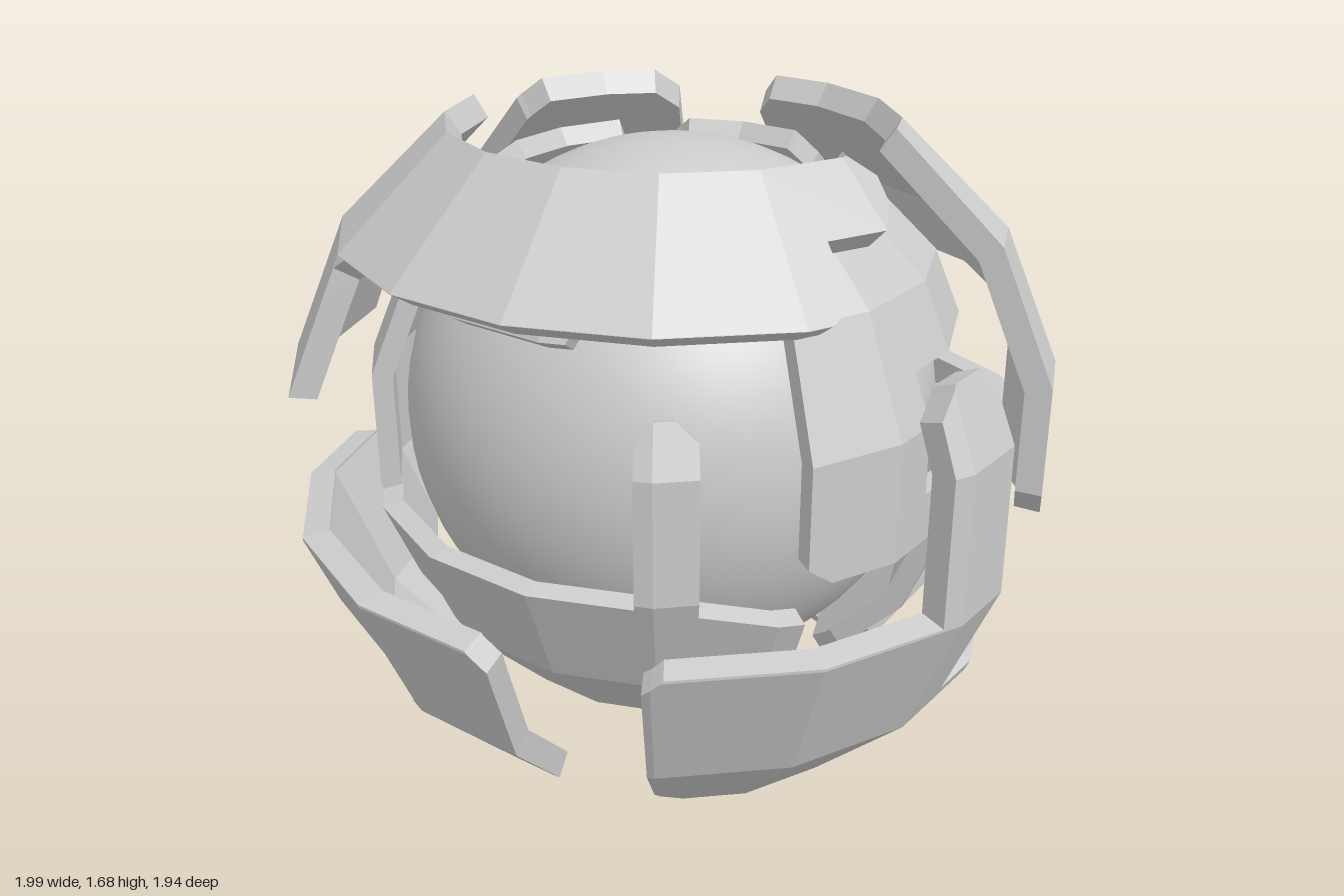
import * as THREE from 'three';

const STEP = 22.5, OFFSET = 11.25; // facet size of the plated shells, degrees
const RINGS = [-56.25, -33.75, -11.25, 11.25, 33.75, 56.25];
const rad = THREE.MathUtils.degToRad;

// Two concentric faceted shells the plates are cut from
const OUTER = { cy: 0.84, R: 1.011, t: 0.07, sx: 1.025 };
const INNER = { cy: 0.885, R: 0.82, t: 0.055, sx: 1 };
for (const s of [OUTER, INNER]) s.ys = RINGS.map(a => s.cy + s.R * Math.sin(rad(a)));

// Point on a shell's flat facets from longitude (0 = front, 90 = +x) and height
function onShell(s, [lon, y], depth) {
  const k = Math.floor((lon - OFFSET) / STEP + 1e-7), u = (lon - OFFSET) / STEP - k;
  let i = 0;
  while (i < 4 && y > s.ys[i + 1]) i++;
  const v = (y - s.ys[i]) / (s.ys[i + 1] - s.ys[i]);
  const r = s.R * THREE.MathUtils.lerp(Math.cos(rad(RINGS[i])), Math.cos(rad(RINGS[i + 1])), v);
  const a = rad(OFFSET + k * STEP), b = rad(OFFSET + (k + 1) * STEP);
  const f = 1 - depth / s.R;
  return [
    f * s.sx * r * THREE.MathUtils.lerp(Math.sin(a), Math.sin(b), u),
    s.cy + f * (y - s.cy),
    f * r * THREE.MathUtils.lerp(Math.cos(a), Math.cos(b), u),
  ];
}

// Keep the side of a polygon where sign * (p[axis] - limit) >= 0
function clip(poly, axis, limit, sign) {
  const out = [];
  poly.forEach((p, i) => {
    const q = poly[(i + 1) % poly.length];
    const dp = sign * (p[axis] - limit), dq = sign * (q[axis] - limit);
    if (dp >= 0) out.push(p);
    if (dp * dq < 0) {
      const t = dp / (dp - dq);
      out.push([p[0] + t * (q[0] - p[0]), p[1] + t * (q[1] - p[1])]);
    }
  });
  return out;
}

// Thick plate from an outline of [longitude, height] corners
function plate(name, s, outline, material) {
  const area = THREE.ShapeUtils.area(outline.map(p => new THREE.Vector2(...p)));
  const poly = (area < 0 ? [...outline].reverse() : outline)
    .map(([l, y]) => [l, THREE.MathUtils.clamp(y, s.ys[0], s.ys[5])]);
  const pos = [];
  const tri = (...pts) => pts.forEach(p => pos.push(...p));
  const lons = poly.map(p => p[0]);
  const k0 = Math.floor((Math.min(...lons) - OFFSET) / STEP);
  const k1 = Math.ceil((Math.max(...lons) - OFFSET) / STEP);

  // outer and inner faces, facet by facet
  for (let k = k0; k < k1; k++) for (let i = 0; i < 5; i++) {
    const l0 = OFFSET + k * STEP, l1 = l0 + STEP;
    let c = clip(clip(poly, 0, l0, 1), 0, l1, -1);
    c = clip(clip(c, 1, s.ys[i], 1), 1, s.ys[i + 1], -1);
    if (c.length < 3) continue;
    // pull corners slightly inside so they stay on this facet
    const at = (p, d) => onShell(s, [
      THREE.MathUtils.clamp(p[0], l0 + 1e-4, l1 - 1e-4),
      THREE.MathUtils.clamp(p[1], s.ys[i] + 1e-6, s.ys[i + 1] - 1e-6)], d);
    const faces = THREE.ShapeUtils.triangulateShape(c.map(p => new THREE.Vector2(...p)), []);
    for (const [a, b, d] of faces) {
      tri(at(c[a], 0), at(c[b], 0), at(c[d], 0));
      tri(at(c[d], s.t), at(c[b], s.t), at(c[a], s.t));
    }
  }

  // side walls, split where they cross facet edges
  poly.forEach((a, i) => {
    const b = poly[(i + 1) % poly.length], ts = [0, 1];
    const cut = (axis, value) => {
      const t = (value - a[axis]) / (b[axis] - a[axis]);
      if (t > 1e-5 && t < 1 - 1e-5) ts.push(t);
    };
    for (let k = k0; k <= k1; k++) cut(0, OFFSET + k * STEP);
    s.ys.forEach(y => cut(1, y));
    ts.sort((m, n) => m - n);
    for (let j = 0; j + 1 < ts.length; j++) {
      const [p, q] = [ts[j], ts[j + 1]].map(t => [a[0] + t * (b[0] - a[0]), a[1] + t * (b[1] - a[1])]);
      const op = onShell(s, p, 0), oq = onShell(s, q, 0), ip = onShell(s, p, s.t), iq = onShell(s, q, s.t);
      tri(op, ip, iq);
      tri(op, iq, oq);
    }
  });

  const g = new THREE.BufferGeometry();
  g.setAttribute('position', new THREE.Float32BufferAttribute(pos, 3));
  g.computeVertexNormals();
  const mesh = new THREE.Mesh(g, material);
  mesh.name = name;
  return mesh;
}

export function createModel() {
  const group = new THREE.Group();
  group.name = 'armouredSphere';
  const smooth = new THREE.MeshStandardMaterial({ color: 0xcccccc });
  const flat = new THREE.MeshStandardMaterial({ color: 0xcccccc, flatShading: true });

  // Smooth core
  const core = new THREE.Mesh(new THREE.SphereGeometry(0.705, 48, 32), smooth);
  core.position.y = 0.915;
  core.name = 'core';
  group.add(core);

  const add = (name, shell, outline) => group.add(plate(name, shell, outline, flat));

  // Outer armour
  add('frontTopPlate', OUTER, [[-100, 1.04], [-57, 1.04], [-56, 1.37], [-53, 1.4], [38, 1.4], [43, 1.43],
    [43, 1.54], [56, 1.54], [62, 1.58], [64, 1.63], [58, 1.68], [-100, 1.68]]);
  add('leftSidePlate', OUTER, [[89, 0.74], [94, 0.65], [120, 0.65], [119, 0.06], [126, 0], [160, 0], [169, 0.08],
    [170, 0.84], [111, 0.84], [111, 1.23], [170, 1.23], [169, 1.62], [163, 1.68], [89, 1.68]]);
  add('backRightPlate', OUTER, [[-168, 0.06], [-160, 0], [-130, 0], [-124, 0.05], [-123, 1.62], [-127, 1.68],
    [-161, 1.68], [-168, 1.62], [-169, 1.31], [-163, 1.23], [-146, 1.23], [-146, 1.16], [-143, 1.13],
    [-134, 1.13], [-134, 0.34], [-157, 0.34], [-157, 0.77], [-160, 0.84], [-165, 0.84], [-168, 0.77]]);
  add('frontLeftLowerPlate', OUTER, [[10, 0.07], [17, 0], [94, 0], [99, 0.06], [99, 0.25], [96, 0.31], [68, 0.31],
    [67.5, 1.15], [64.5, 1.23], [57, 1.23], [53, 1.16], [53, 0.65], [13, 0.65], [10, 0.6]]);
  add('frontRightLowerPlate', OUTER, [[-11, 0.6], [-14, 0.65], [-96, 0.65], [-99, 0.6], [-95, 0.06], [-90, 0],
    [-72, 0], [-67, 0.05], [-69, 0.45], [-37, 0.45], [-36, 0.29], [-46, 0.22], [-48, 0.06], [-45, 0], [-20, 0],
    [-13, 0.07]]);

  // Inner armour
  add('innerTopPlate', INNER, [[-147, 1.565], [-151, 1.5], [-148, 1.15], [-143, 1.08], [-117, 1.08], [-112, 0.68],
    [-64, 0.68], [-62, 1.31], [-6, 1.31], [-3, 1.38], [14, 1.38], [18, 1.45], [18, 1.565]]);
  add('innerFrontPlate', INNER, [[-105, 0.5], [-45, 0.5], [-40, 0.205], [30, 0.205], [40, 0.28], [40, 0.6],
    [19, 0.68], [19, 1.12], [15, 1.17], [11, 1.17], [8, 1.12], [8, 0.71], [-105, 0.71]]);
  add('innerLeftPlate', INNER, [[38, 0.78], [43, 0.73], [77, 0.73], [77, 0.27], [83, 0.205], [118, 0.205],
    [125, 0.28], [126, 0.8], [120, 0.86], [66, 0.86], [66, 1.17], [118, 1.17], [126, 1.22], [122, 1.5],
    [115, 1.565], [48, 1.565], [38, 1.48]]);
  add('innerBackPlate', INNER, [[143, 1.5], [146, 1.25], [152, 1.17], [160, 1.17], [160, 0.8], [174, 0.8],
    [174, 1.17], [190, 1.17], [194, 1.22], [193, 1.52], [188, 1.565], [147, 1.565]]);
  add('innerBackLowerPlate', INNER, [[186, 0.36], [192, 0.3], [248, 0.3], [252, 0.36], [252, 0.55], [226, 0.55],
    [226, 0.73], [214, 0.73], [214, 0.44], [186, 0.44]]);

  return group;
}
